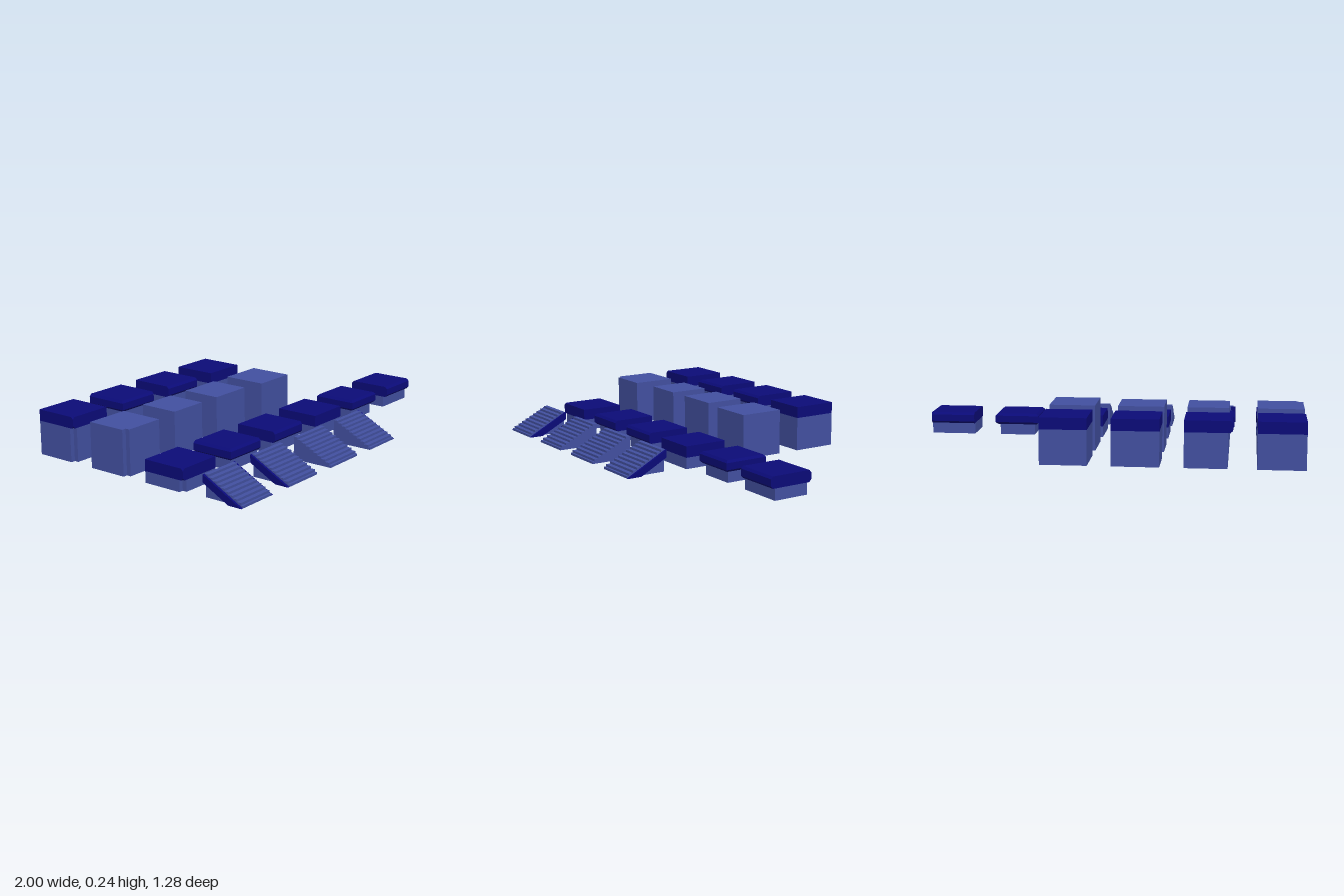
import * as THREE from 'three';

const S = 2 / 8.5;          // tile size
const PITCH = S * 1.5;      // tile spacing
const LIP = S / 10;         // overhang of a cap over its body
const BEVEL = S / 20;       // chamfer along overhanging edges
const CAP = S / 4;          // cap thickness
const Z0 = -0.6415;         // back of the rearmost row

const bodyMaterial = new THREE.MeshStandardMaterial({ color: 0x4250a0 });
bodyMaterial.name = 'slate blue';
const capMaterial = new THREE.MeshStandardMaterial({ color: 0x0b0b78 });
capMaterial.name = 'navy';

// Sides of each tile that overhang (l = -x, r = +x, f = +z, b = -z), or a notched corner
const TILES = [
  { name: 'innerCorner', notch: true, sides: '' },
  { name: 'outerCorner', sides: 'lf' },
  { name: 'edge', sides: 'f' },
  { name: 'centre', sides: '' },
  { name: 'single', sides: 'lrfb' },
  { name: 'strip', sides: 'fb' },
];

// Tile outline in (x, z), counter-clockwise from above, drawn in by d on overhanging sides
function outline(tile, d) {
  const inset = (side) => (tile.sides.includes(side) ? d : 0);
  const x0 = inset('l'), x1 = S - inset('r');
  const z0 = inset('b'), z1 = S - inset('f');
  if (tile.notch) {
    return [[d, S - d], [d, S], [S, S], [S, 0], [0, 0], [0, S - d]];
  }
  return [[x0, z1], [x1, z1], [x1, z0], [x0, z0]];
}

// Closed faceted solid through rings given as [y, inset]
function loft(tile, rings) {
  const loops = rings.map(([y, d]) => outline(tile, d).map(([x, z]) => [x, y, z]));
  const n = loops[0].length;
  const out = [];
  const tri = (a, b, c) => out.push(...a, ...b, ...c);
  for (let k = 0; k < loops.length - 1; k++) {
    const a = loops[k], b = loops[k + 1];
    for (let i = 0; i < n; i++) {
      const j = (i + 1) % n;
      tri(a[i], a[j], b[j]);
      tri(a[i], b[j], b[i]);
    }
  }
  const low = loops[0], top = loops[loops.length - 1];
  for (let i = 1; i < n - 1; i++) {
    tri(top[0], top[i], top[i + 1]);
    tri(low[0], low[i + 1], low[i]);
  }
  const geometry = new THREE.BufferGeometry();
  geometry.setAttribute('position', new THREE.Float32BufferAttribute(out, 3));
  geometry.computeVertexNormals();
  return geometry;
}

function addMesh(group, name, geometry, material) {
  const mesh = new THREE.Mesh(geometry, material);
  mesh.name = name;
  group.add(mesh);
}

// Block with an optional chamfered cap
function makeTile(tile, height, capped) {
  const group = new THREE.Group();
  const y = capped ? height - CAP : height;
  addMesh(group, 'body', loft(tile, [[0, LIP], [y, LIP]]), bodyMaterial);
  if (capped) {
    const rings = [[y, BEVEL], [y + BEVEL, 0], [height - BEVEL, 0], [height, BEVEL]];
    addMesh(group, 'cap', loft(tile, rings), capMaterial);
  }
  return group;
}

// Side profile in (z, y) extruded from x0 to x1
function extrudeAcross(points, x0, x1) {
  const shape = new THREE.Shape(points.map(([z, y]) => new THREE.Vector2(z, y)));
  const geometry = new THREE.ExtrudeGeometry(shape, { depth: x1 - x0, bevelEnabled: false });
  return geometry.rotateY(-Math.PI / 2).translate(x1, 0, 0);
}

// Flight of ten steps with stringers on the given sides
function makeStairs(sides) {
  const group = new THREE.Group();
  const steps = 10, run = S / steps, rise = S / 2 / steps;
  const depth = S - run / 2, top = S / 2, thick = 0.04;
  const foot = depth * (1 - thick / top);
  const left = sides.includes('l'), right = sides.includes('r');

  // Zigzag treads over a sloping underside
  const zigzag = [[0, top - thick], [foot, 0], [depth, 0]];
  for (let i = 0; i < steps; i++) {
    zigzag.push([Math.min(depth, S - i * run), (i + 1) * rise]);
    zigzag.push([S - (i + 1) * run, (i + 1) * rise]);
  }
  addMesh(group, 'steps',
    extrudeAcross(zigzag, left ? BEVEL : 0, right ? S - BEVEL : S), bodyMaterial);

  // Solid wedge beneath the treads
  const wedge = [[0, 0], [foot, 0], [0, top - thick]];
  addMesh(group, 'wedge',
    extrudeAcross(wedge, left ? LIP : 0, right ? S - LIP : S), bodyMaterial);

  // Sloping side boards
  const board = [[0, top - thick], [foot, 0], [depth, 0], [0, top]];
  if (left) addMesh(group, 'leftBoard', extrudeAcross(board, 0, LIP), capMaterial);
  if (right) addMesh(group, 'rightBoard', extrudeAcross(board, S - LIP, S), capMaterial);
  return group;
}

export function createModel() {
  const model = new THREE.Group();
  model.name = 'terrainTiles';
  const place = (group, name, column, row) => {
    group.name = name;
    group.position.set(-1 + column * PITCH, 0, Z0 + row * PITCH);
    model.add(group);
  };

  // Tall capped blocks, plain blocks and low capped slabs
  TILES.forEach((tile, i) => {
    if (i < 4) {
      place(makeTile(tile, S, true), tile.name + 'Block', i, 0);
      place(makeTile(tile, S, false), tile.name + 'Base', i, 1);
    }
    place(makeTile(tile, S / 2, true), tile.name + 'Slab', i, 2);
  });

  // Stairs: both boards, one board, none, one board
  ['lr', 'l', '', 'r'].forEach((sides, i) => place(makeStairs(sides), 'stairs' + (i + 1), i, 3));
  return model;
}
